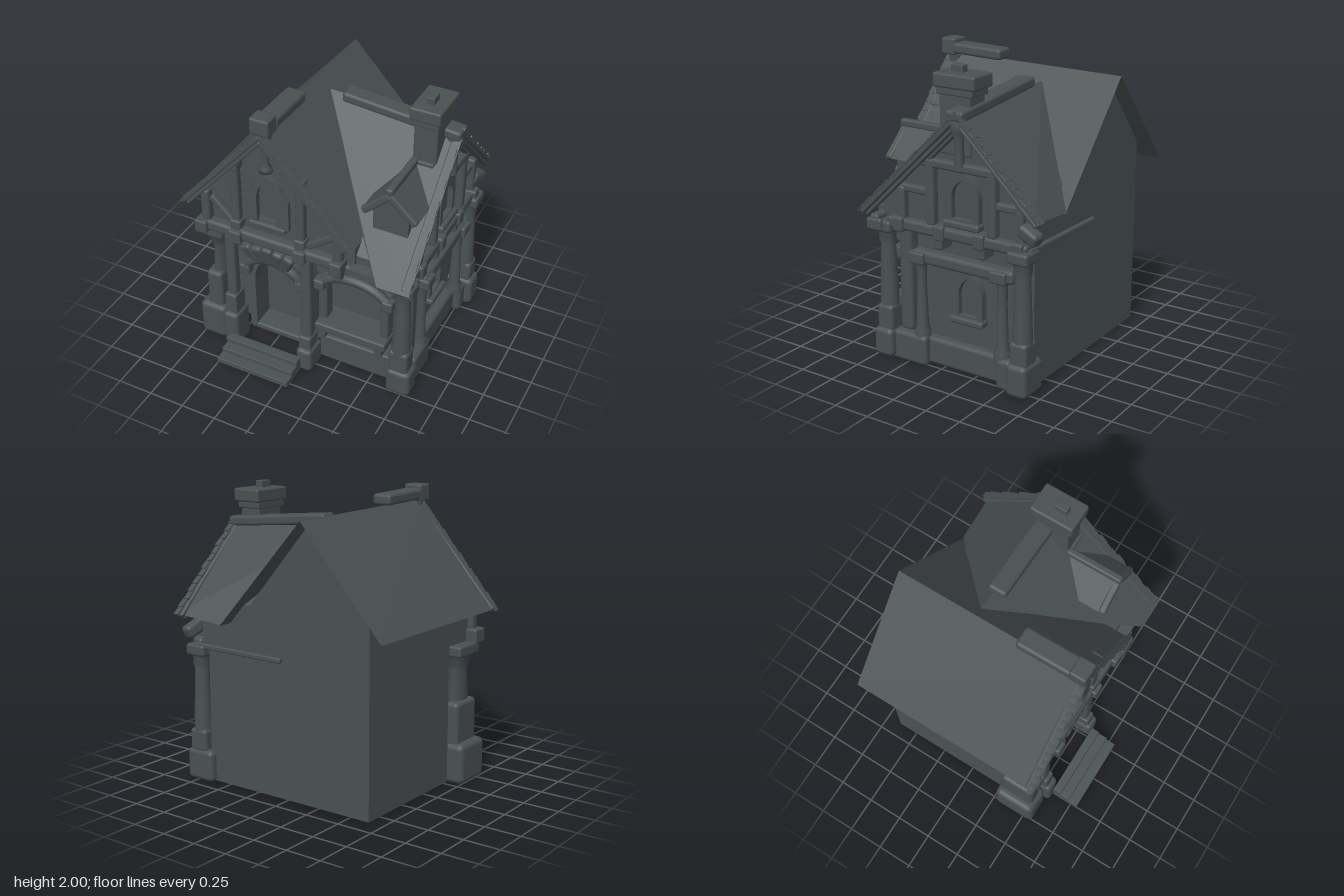
import * as THREE from 'three';
import { RoundedBoxGeometry } from 'three/addons/geometries/RoundedBoxGeometry.js';

const stone = new THREE.MeshStandardMaterial({ color: 0x4a5151, side: THREE.DoubleSide });
stone.name = 'dark slate grey';
const V = (x, y, z) => new THREE.Vector3(x, y, z);

function add(parent, name, geo, x = 0, y = 0, z = 0) {
  const m = new THREE.Mesh(geo, stone);
  m.name = name;
  m.position.set(x, y, z);
  parent.add(m);
  return m;
}

// Softened block between two corners
function block(p, name, x0, x1, y0, y1, z0, z1, r = 0.015) {
  const w = x1 - x0, h = y1 - y0, d = z1 - z0;
  const geo = r ? new RoundedBoxGeometry(w, h, d, 2, Math.min(r, w / 2.1, h / 2.1, d / 2.1)) : new THREE.BoxGeometry(w, h, d);
  return add(p, name, geo, (x0 + x1) / 2, (y0 + y1) / 2, (z0 + z1) / 2);
}

// Timber between two points
function beam(p, name, a, b, w, d = w) {
  const dir = b.clone().sub(a), len = dir.length();
  const m = add(p, name, new RoundedBoxGeometry(w, len, d, 2, Math.min(w, d) * 0.3));
  m.position.copy(a).add(b).multiplyScalar(0.5);
  m.quaternion.setFromUnitVectors(V(0, 1, 0), dir.normalize());
  return m;
}

// Turned shaft from [radius, height] pairs
function column(p, name, x, z, pts) {
  return add(p, name, new THREE.LatheGeometry(pts.map(q => new THREE.Vector2(q[0], q[1])), 14), x, 0, z);
}

// Flat polygon from corners
function plate(p, name, c) {
  const v = [];
  for (let i = 1; i < c.length - 1; i++) for (const q of [c[0], c[i], c[i + 1]]) v.push(...q);
  const g = new THREE.BufferGeometry();
  g.setAttribute('position', new THREE.Float32BufferAttribute(v, 3));
  g.computeVertexNormals();
  return add(p, name, g);
}

function extrude(p, name, shape, z0, z1, x = 0, y = 0) {
  return add(p, name, new THREE.ExtrudeGeometry(shape, { depth: z1 - z0, bevelEnabled: false, curveSegments: 10 }), x, y, z0);
}
const poly = pts => new THREE.Shape(pts.map(q => new THREE.Vector2(q[0], q[1])));

// Arch outline; k = 1 is round, lower is pointed
function archPath(path, w, h, s, k, y0 = 0) {
  const c = s + (h - s) * k;
  path.moveTo(-w / 2, y0);
  path.lineTo(w / 2, y0);
  path.lineTo(w / 2, s);
  path.quadraticCurveTo(w / 2, c, 0, h);
  path.quadraticCurveTo(-w / 2, c, -w / 2, s);
  path.lineTo(-w / 2, y0);
  return path;
}

function archWindow(p, name, x, y, z, w, h, t, k) {
  const g = new THREE.Group();
  g.name = name;
  g.position.set(x, y, z);
  p.add(g);
  const s = archPath(new THREE.Shape(), w, h, h * 0.5, k);
  s.holes.push(archPath(new THREE.Path(), w - 2 * t, h - t * 1.3, h * 0.5, k, t * 0.6));
  extrude(g, 'archFrame', s, 0, 0.05);
  extrude(g, 'pane', archPath(new THREE.Shape(), w - t, h - t, h * 0.5, k), 0, 0.012);
  block(g, 'sill', -w / 2 - 0.015, w / 2 + 0.015, -0.03, 0.015, 0, 0.08);
  return g;
}

// Hood moulding over an opening
function hood(p, name, pts, r) {
  add(p, name, new THREE.TubeGeometry(new THREE.CatmullRomCurve3(pts), 20, r, 8));
  for (const q of [pts[0], pts[pts.length - 1]])
    block(p, name + 'Foot', q.x - 0.04, q.x + 0.04, q.y - 0.05, q.y + 0.03, q.z - 0.04, q.z + 0.04);
}

// Bargeboards with ragged tile ends
function barge(p, a, b, n, tileDrop) {
  const at = (t, drop) => a.clone().lerp(b, t).add(V(0, -drop, 0));
  beam(p, 'bargeboard', at(0.02, 0.028), at(1, 0.028), 0.035, 0.06);
  beam(p, 'innerBargeboard', at(0.07, 0.075), at(1, 0.075), 0.025, 0.04);
  for (let i = 0; i < n; i++) {
    const q = at((i + 0.5) / n, tileDrop);
    const t = add(p, 'edgeTile', new THREE.BoxGeometry(0.08, 0.012, 0.04), q.x, q.y, q.z + 0.014 + 0.006 * Math.sin(i * 2.3));
    t.rotation.z = Math.atan2(b.y - a.y, b.x - a.x) + 0.1;
  }
}

export function createModel() {
  const house = new THREE.Group();
  house.name = 'cottage';
  // Side group: its +x is world -z, its +z is world +x
  const side = new THREE.Group();
  side.name = 'rightSide';
  side.rotation.y = Math.PI / 2;
  house.add(side);

  // Lower walls, open underneath
  const corners = [[-0.655, 0.27], [0.65, 0.27], [0.65, -0.64], [-0.655, -0.64]];
  corners.forEach(([x, z], i) => {
    const [u, w] = corners[(i + 1) % 4];
    plate(house, 'lowerWall', [[x, 0.01, z], [u, 0.01, w], [u, 0.96, w], [x, 0.96, z]]);
  });
  // Upper walls
  extrude(house, 'frontGableWall', poly([[-0.655, 0.95], [-0.655, 1.31], [-0.21, 1.83], [0.4, 1.13], [0.4, 0.95]]), -0.64, 0.5);
  extrude(side, 'sideGableWall', poly([[-0.48, 0.95], [-0.48, 1.06], [0.19, 1.71], [0.64, 1.26], [0.64, 0.95]]), -0.2, 0.7);
  block(house, 'frontPlinth', 0.1, 0.66, 0.01, 0.21, 0.275, 0.42);
  block(house, 'sidePlinth', 0.655, 0.74, 0.01, 0.2, -0.5, 0.3, 0.03);
  beam(house, 'backRail', V(0, 0.945, -0.68), V(0.75, 0.945, -0.66), 0.035);

  // Roof planes
  plate(house, 'mainRoofLeft', [[-0.21, 1.87, 0.61], [-0.21, 1.85, -0.74], [-0.81, 1.17, -0.74], [-0.81, 1.17, 0.61]]);
  plate(house, 'mainRoofRight', [[-0.21, 1.87, 0.61], [0.41, 1.17, 0.61], [0.41, 1.17, 0.4], [0.46, 1.12, -0.74], [-0.21, 1.85, -0.74]]);
  plate(house, 'wingRoofFront', [[-0.13, 1.77, -0.2], [0.41, 1.17, 0.41], [0.6, 0.98, 0.61], [0.82, 0.98, 0.61], [0.82, 1.74, -0.18]]);
  plate(house, 'wingRoofBack', [[-0.13, 1.77, -0.2], [0.82, 1.74, -0.18], [0.82, 1.16, -0.75], [0.46, 1.13, -0.745]]);
  block(house, 'valleyLedge', 0.38, 0.66, 0.95, 1.0, 0.27, 0.56, 0);

  // Ridge caps and peak block
  beam(house, 'frontRidgeCap', V(-0.195, 1.9, 0.13), V(-0.195, 1.91, 0.52), 0.14, 0.075);
  block(house, 'peakBlock', -0.265, -0.13, 1.86, 1.975, 0.5, 0.615, 0.015);
  beam(house, 'wingRidgeCap', V(0, 1.795, -0.17), V(0.82, 1.72, -0.17), 0.07, 0.13);

  barge(house, V(-0.82, 1.18, 0.575), V(-0.21, 1.87, 0.575), 14, 0.012);
  barge(house, V(0.41, 1.18, 0.575), V(-0.21, 1.87, 0.575), 14, 0.012);
  barge(side, V(-0.6, 1.0, 0.785), V(0.18, 1.75, 0.785), 16, 0.004);
  barge(side, V(0.78, 1.165, 0.785), V(0.18, 1.75, 0.785), 13, 0);

  // Chimney
  block(house, 'chimneyShaft', 0.555, 0.715, 1.45, 1.84, -0.22, 0.01, 0.01);
  block(house, 'chimneyBand', 0.565, 0.705, 1.54, 1.57, -0.23, 0.03, 0.01);
  block(house, 'chimneyNeck', 0.545, 0.725, 1.82, 1.88, -0.24, 0.03, 0.01);
  block(house, 'chimneyCap', 0.53, 0.74, 1.865, 1.955, -0.265, 0.045, 0.015);
  block(house, 'chimneyPot', 0.605, 0.66, 1.94, 2.0, -0.13, -0.04, 0.005);

  // Dormer
  extrude(house, 'dormerBody', poly([[0.455, 1.2], [0.69, 1.18], [0.7, 1.38], [0.575, 1.5], [0.45, 1.38]]), 0, 0.36);
  for (const s of [-1, 1]) {
    plate(house, 'dormerRoof', [[0.575, 1.56, 0.4], [0.575 + s * 0.19, 1.37, 0.4], [0.575 + s * 0.19, 1.37, 0.17], [0.575, 1.56, 0]]);
    beam(house, 'dormerBarge', V(0.575, 1.525, 0.38), V(0.575 + s * 0.18, 1.36, 0.38), 0.05, 0.05);
  }
  beam(house, 'dormerRidge', V(0.575, 1.56, 0), V(0.575, 1.56, 0.41), 0.05);

  // Stair flight
  for (let i = 0; i < 3; i++) block(house, 'step', -0.5, 0.045, 0.01 + i * 0.035, 0.05 + i * 0.035, 0.6, 0.8 - i * 0.07, 0.004);
  block(house, 'threshold', -0.42, 0.0, 0.1, 0.15, 0.275, 0.46);

  // Front left pillar, deeper than wide
  block(house, 'pillarBase', -0.77, -0.565, 0, 0.28, 0.27, 0.57, 0.04);
  block(house, 'pillarBlock', -0.715, -0.595, 0.25, 0.56, 0.29, 0.54, 0.03);
  column(house, 'pillarShaft', -0.64, 0, [[0.05, 0.5], [0.05, 0.6], [0.045, 0.78], [0.055, 0.8], [0.058, 0.86], [0.075, 0.88]]).scale.z = 1.8;
  house.children[house.children.length - 1].position.z = 0.42;
  block(house, 'pillarCap', -0.73, -0.565, 0.87, 0.95, 0.29, 0.54, 0.02);
  // Right corner pillars
  for (const [x, z, h, inner] of [[0.715, 0.44, 0.2, 0.08], [0.74, -0.615, 0.22, 0.13]]) {
    block(house, 'pillarBase', x - inner, x + 0.095, 0, h, z - 0.075, z + 0.075, 0.035);
    block(house, 'pillarBlock', x - 0.07, x + 0.07, h - 0.02, 0.36, z - 0.065, z + 0.06, 0.025);
    column(house, 'pillarShaft', x, z, [[0.065, 0.3], [0.06, 0.5], [0.05, 0.78], [0.058, 0.8], [0.06, 0.86], [0.075, 0.88]]);
    block(house, 'pillarCap', x - 0.08, x + 0.08, 0.87, 0.95, z - 0.075, z + 0.075, 0.02);
  }
  // Door posts
  for (const [x, h] of [[-0.51, 0.44], [0.06, 0.28]]) {
    block(house, 'doorPostBase', x - 0.055, x + 0.06, 0, h * 0.65, 0.42, 0.6, 0.03);
    block(house, 'doorPostBlock', x - 0.045, x + 0.045, h * 0.6, h, 0.45, 0.57);
    beam(house, 'doorPost', V(x, h - 0.02, 0.51), V(x, 0.95, 0.51), 0.075);
  }

  // Door in a deep arch, with fan corbel
  const frame = archPath(new THREE.Shape(), 0.44, 0.7, 0.45, 1);
  frame.holes.push(archPath(new THREE.Path(), 0.34, 0.63, 0.42, 1, 0.01));
  extrude(house, 'doorFrame', frame, 0.275, 0.46, -0.2, 0.12);
  extrude(house, 'door', archPath(new THREE.Shape(), 0.35, 0.64, 0.42, 1), 0.275, 0.29, -0.2, 0.12);
  hood(house, 'doorHood', [V(-0.42, 0.67, 0.48), V(-0.36, 0.75, 0.49), V(-0.21, 0.805, 0.5), V(-0.06, 0.75, 0.49), V(0, 0.67, 0.48)], 0.034);
  for (let i = -2; i <= 2; i++)
    beam(house, 'fanCorbel', V(-0.21 + i * 0.05, 0.8 - Math.abs(i) * 0.005, 0.49), V(-0.21 + i * 0.085, 0.955 - Math.abs(i) * 0.012, 0.54), 0.08, 0.09);

  // Front shop window
  block(house, 'windowPane', 0.16, 0.53, 0.36, 0.69, 0.272, 0.28, 0);
  for (const x of [0.13, 0.58]) beam(house, 'windowPost', V(x, 0.36, 0.38), V(x, 0.72, 0.38), 0.06, 0.1);
  const lintel = new THREE.Shape();
  lintel.moveTo(0.12, 0.67);
  lintel.lineTo(0.6, 0.67);
  lintel.lineTo(0.6, 0.7);
  lintel.quadraticCurveTo(0.36, 0.86, 0.12, 0.7);
  extrude(house, 'windowHead', lintel, 0.275, 0.36);
  hood(house, 'windowHood', [V(0.115, 0.7, 0.43), V(0.22, 0.77, 0.43), V(0.36, 0.795, 0.43), V(0.5, 0.77, 0.43), V(0.61, 0.7, 0.43)], 0.033);
  block(house, 'windowSill', 0.1, 0.62, 0.32, 0.385, 0.275, 0.5);
  for (const x of [0.14, 0.56]) block(house, 'sillBracket', x - 0.03, x + 0.03, 0.24, 0.33, 0.275, 0.48);

  // Front upper timbers
  beam(house, 'frontBeam', V(-0.72, 0.995, 0.53), V(0.32, 0.995, 0.53), 0.085);
  for (const x of [-0.69, -0.43, 0.04, 0.3]) block(house, 'beamBlock', x - 0.045, x + 0.045, 0.935, 1.035, 0.48, 0.6);
  block(house, 'beamPendant', 0.27, 0.33, 0.87, 0.94, 0.5, 0.57);
  beam(house, 'wingFrontBeam', V(0.3, 0.95, 0.49), V(0.8, 0.95, 0.49), 0.07);
  block(house, 'wingBeamEnd', 0.77, 0.815, 0.88, 0.96, 0.42, 0.54);
  for (const x of [-0.435, 0.035]) {
    beam(house, 'gablePost', V(x, 1.03, 0.53), V(x, 1.57, 0.53), 0.06);
    for (const y of [1.04, 1.5]) block(house, 'postCollar', x - 0.04, x + 0.04, y, y + 0.07, 0.49, 0.575);
  }
  for (const [x, y] of [[-0.665, 1.27], [0.3, 1.22]]) beam(house, 'shortPost', V(x, 1.02, 0.53), V(x, y, 0.53), 0.065);
  beam(house, 'gableBrace', V(-0.63, 1.22, 0.52), V(-0.46, 1.05, 0.52), 0.05);
  beam(house, 'gableBrace', V(0.27, 1.2, 0.52), V(0.07, 1.05, 0.52), 0.05);
  column(house, 'kingPost', -0.2, 0.54, [[0, 1.55], [0.045, 1.56], [0.04, 1.59], [0.022, 1.62], [0.025, 1.72], [0.045, 1.77], [0.045, 1.86]]);
  archWindow(house, 'gableWindow', -0.2, 1.14, 0.49, 0.24, 0.37, 0.04, 0.75);
  for (const x of [-0.315, -0.085])
    extrude(house, 'shutter', poly([[-0.045, 0], [0.045, 0], [0.045, 0.22], [0, 0.29], [-0.045, 0.22]]), 0.53, 0.56, x, 1.15);

  // Right side: lower storey (u = -z)
  for (const u of [-0.16, 0.46]) {
    column(side, 'sidePillar', u, 0.73, [[0.055, 0.18], [0.055, 0.24], [0.04, 0.27], [0.032, 0.55], [0.035, 0.68], [0.055, 0.72]]);
    block(side, 'sidePillarCap', u - 0.06, u + 0.06, 0.71, 0.79, 0.67, 0.8);
  }
  for (const [a, b] of [[-0.36, -0.1], [0.44, 0.55]]) block(side, 'sidePillarFoot', a, b, 0, 0.21, 0.655, 0.79, 0.03);
  beam(side, 'lowerBeam', V(-0.2, 0.755, 0.73), V(0.56, 0.755, 0.73), 0.09);
  beam(side, 'sidePost', V(-0.29, 0.2, 0.69), V(-0.29, 0.93, 0.69), 0.1);
  block(side, 'jettyBracket', -0.4, -0.27, 0.78, 0.95, 0.6, 0.7, 0.03);
  archWindow(side, 'lowerSideWindow', 0.175, 0.37, 0.65, 0.22, 0.33, 0.04, 0.6);

  // Right side: gable timbers
  beam(side, 'upperBeam', V(-0.4, 0.95, 0.74), V(0.66, 0.95, 0.74), 0.08);
  for (const u of [-0.3, 0.02, 0.32, 0.6]) block(side, 'upperBeamBlock', u - 0.04, u + 0.04, 0.9, 1.0, 0.69, 0.8);
  for (const u of [0, 0.32]) block(side, 'beamBracket', u - 0.03, u + 0.03, 0.83, 0.91, 0.65, 0.77);
  beam(side, 'eaveBracket', V(0.6, 1.09, 0.74), V(0.74, 1.03, 0.76), 0.09, 0.09);
  for (const u of [-0.06, 0.4]) beam(side, 'sideGablePost', V(u, 0.98, 0.74), V(u, 1.42, 0.74), 0.065);
  for (const [u, y] of [[-0.29, 1.2], [0.6, 1.25]]) beam(side, 'sideShortPost', V(u, 0.98, 0.74), V(u, y, 0.74), 0.06);
  beam(side, 'collarBeam', V(-0.13, 1.39, 0.74), V(0.49, 1.39, 0.74), 0.06);
  for (const [a, b] of [[-0.3, -0.06], [0.4, 0.6]]) beam(side, 'midRail', V(a, 1.19, 0.73), V(b, 1.19, 0.73), 0.05);
  beam(side, 'sideBrace', V(-0.07, 1.42, 0.75), V(0.14, 1.62, 0.75), 0.045);
  beam(side, 'sideBrace', V(0.42, 1.42, 0.75), V(0.22, 1.62, 0.75), 0.045);
  column(side, 'sideKingPost', 0.17, 0.76, [[0.03, 1.4], [0.028, 1.58], [0.055, 1.62], [0.06, 1.68], [0.04, 1.74], [0, 1.76]]);
  archWindow(side, 'upperSideWindow', 0.175, 1.03, 0.695, 0.24, 0.33, 0.04, 0.65);

  return house;
}
